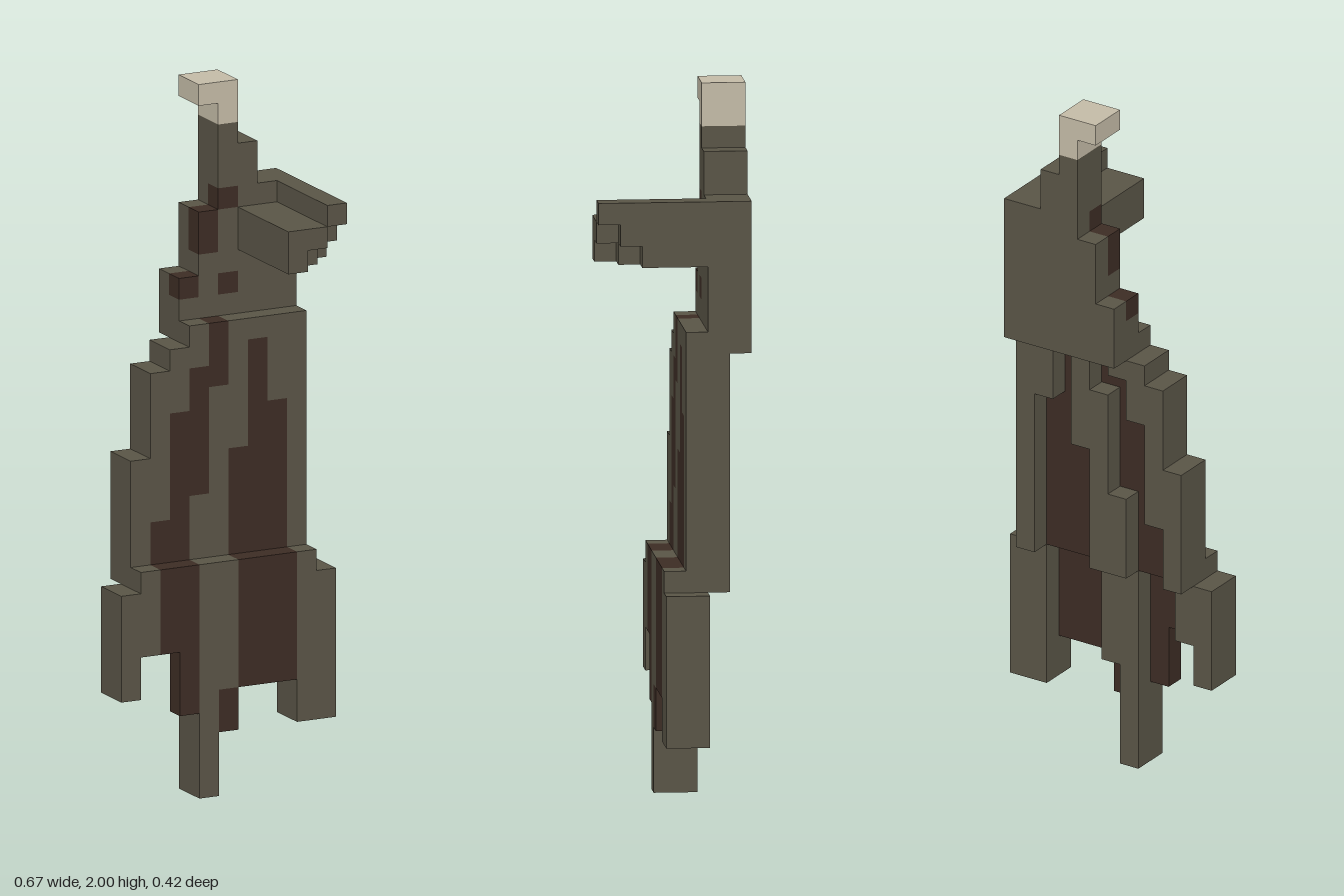
import * as THREE from 'three';

const U = 2 / 33; // one block

export function createModel() {
  const bone = new THREE.MeshStandardMaterial({ color: 0x595446 });
  bone.name = 'greyBone';
  const skin = new THREE.MeshStandardMaterial({ color: 0x3c2c24 });
  skin.name = 'brownMembrane';
  const claw = new THREE.MeshStandardMaterial({ color: 0xc3baa6 });
  claw.name = 'creamClaw';

  const model = new THREE.Group();
  model.name = 'wing';
  const section = (name) => {
    const g = new THREE.Group();
    g.name = name;
    model.add(g);
    return g;
  };

  // Box spanning columns c0..c1, rows y0..y1 and depth z0..z1 (in blocks)
  function block(parent, name, material, c0, c1, y0, y1, z0, z1) {
    if (y1 <= y0) return;
    const geo = new THREE.BoxGeometry((c1 - c0) * U, (y1 - y0) * U, (z1 - z0) * U);
    const mesh = new THREE.Mesh(geo, material);
    mesh.name = name;
    mesh.position.set(((c0 + c1) / 2 - 5.5) * U, ((y0 + y1) / 2) * U, ((z0 + z1) / 2) * U);
    parent.add(mesh);
  }

  // Stepped finger bones and the membrane between them: [column, bottom, top]
  const bones = [[0, 5, 10], [1, 7, 16], [2, 13, 20], [3, 18, 21], [4, 0, 14], [4, 20, 22],
    [5, 5, 19], [6, 16, 22], [7, 21, 22], [8, 18, 22], [9, 3, 22], [10, 3, 10]];
  const membrane = [[2, 7, 13], [3, 4, 18], [4, 14, 20], [5, 3, 5], [5, 19, 22],
    [6, 5, 16], [7, 5, 21], [8, 5, 18]];

  // Lay one sheet of columns, clipped to rows lo..hi, at depth z0
  function sheet(parent, name, material, list, lo, hi, z0) {
    for (const [c, a, b] of list) {
      block(parent, name, material, c, c + 1, Math.max(a, lo), Math.min(b, hi), z0, z0 + 1);
    }
  }

  // Lower panel: thin membrane with bones standing out behind it
  const lower = section('lowerPanel');
  sheet(lower, 'lowerBone', bone, bones, 0, 11, -0.5);
  sheet(lower, 'lowerMembrane', skin, membrane, 0, 11, -0.5);
  sheet(lower, 'lowerBoneBack', bone, bones, 0, 10, -1.5);

  // Middle panel, one block further back
  const middle = section('middlePanel');
  sheet(middle, 'middleBone', bone, bones, 10, 22, -1.5);
  sheet(middle, 'middleMembrane', skin, membrane, 10, 22, -1.5);
  sheet(middle, 'middleBoneBack', bone, bones, 10, 21, -2.5);

  // Upper panel: solid bone with a few membrane patches in front
  const upper = section('upperPanel');
  sheet(upper, 'upperBoneBack', bone,
    [[4, 21, 24], [5, 21, 27], [6, 21, 31], [7, 21, 30], [8, 21, 28], [9, 21, 28]], 21, 33, -3.5);
  sheet(upper, 'upperBone', bone,
    [[4, 21, 23], [5, 21, 25], [6, 21, 23], [6, 24, 27], [6, 28, 31],
      [7, 21, 30], [8, 21, 28], [9, 21, 28]], 21, 33, -2.5);
  sheet(upper, 'upperMembrane', skin,
    [[4, 23, 24], [5, 25, 27], [6, 23, 24], [6, 27, 28]], 21, 33, -2.5);

  // Hooked claw on the tip
  const tip = section('claw');
  block(tip, 'clawBase', claw, 6, 7, 31, 33, -3.5, -1.5);
  block(tip, 'clawHook', claw, 5, 6, 32, 33, -3.5, -1.5);

  // Forward arm with a stepped end: [c0, c1, row, front]
  const arm = section('arm');
  for (const [c0, c1, y, z] of [[9, 10, 27, 3.5], [7, 9, 26, 3.5], [9, 10, 26, 2.5],
    [7, 8, 25, 3.5], [8, 9, 25, 2.5], [9, 10, 25, 1.5]]) {
    block(arm, 'armStep', bone, c0, c1, y, y + 1, -1.5, z);
  }
  return model;
}
